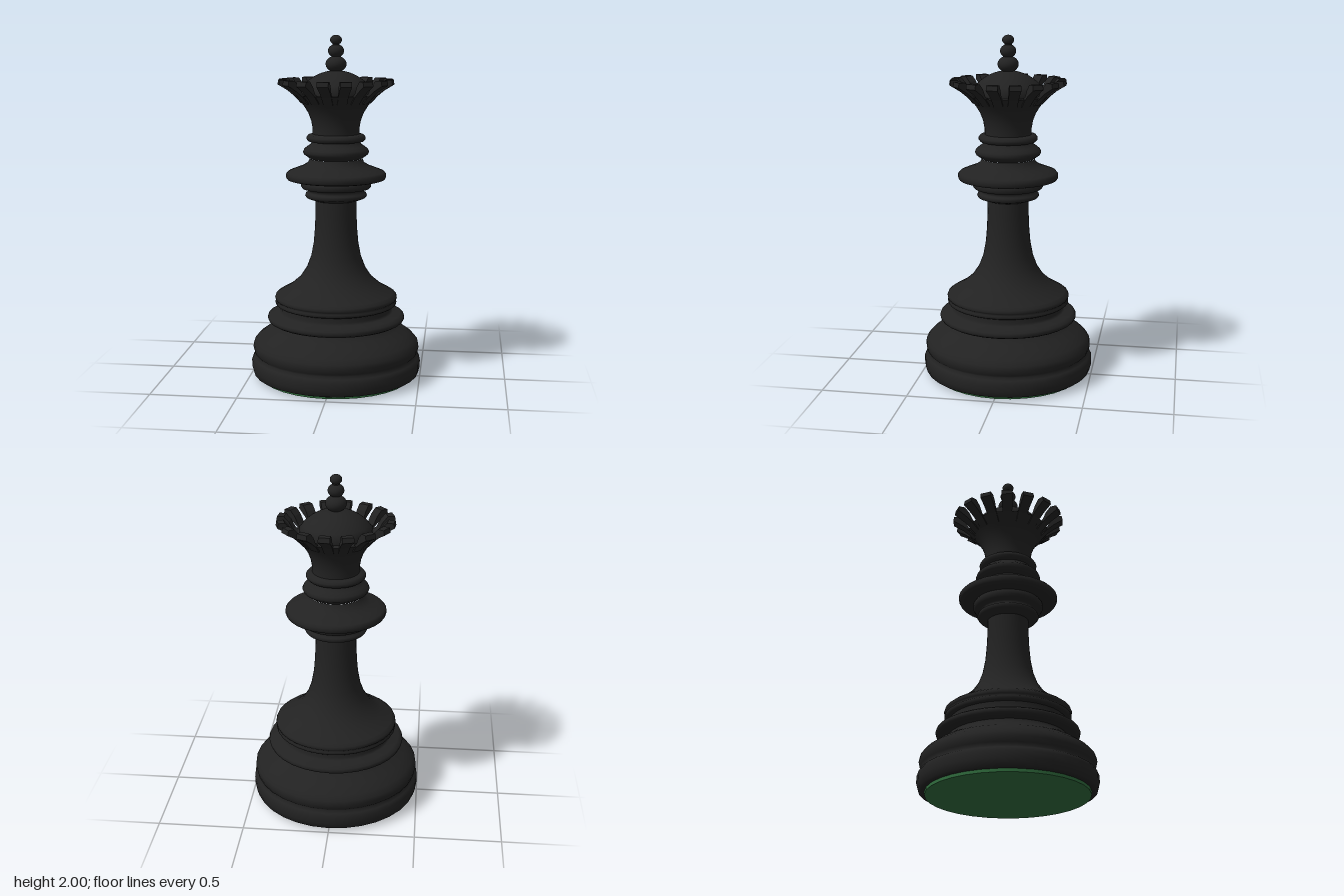
import * as THREE from 'three';

const SIDES = 32;

export function createModel() {
  const black = new THREE.MeshStandardMaterial({ color: 0x222222 });
  black.name = 'black';
  const green = new THREE.MeshStandardMaterial({ color: 0x2f6a3c });
  green.name = 'felt green';

  const model = new THREE.Group();
  model.name = 'chessQueen';

  const add = (name, geometry, material = black) => {
    const mesh = new THREE.Mesh(geometry, material);
    mesh.name = name;
    model.add(mesh);
    return mesh;
  };
  // Turned part from [radius, height] pairs, bottom to top
  const turn = (name, profile) =>
    add(name, new THREE.LatheGeometry(profile.map(([r, y]) => new THREE.Vector2(r, y)), SIDES));

  // Felt pad under the base
  add('feltPad', new THREE.CylinderGeometry(0.455, 0.455, 0.02, SIDES), green).position.y = 0.01;

  // Stepped base
  turn('base', [
    [0.45, 0.018], [0.475, 0.018], [0.49, 0.024], [0.5, 0.06], [0.5, 0.1], [0.488, 0.122],
    [0.47, 0.135], [0.484, 0.15], [0.491, 0.18], [0.487, 0.205], [0.465, 0.232],
    [0.42, 0.265], [0.37, 0.292], [0.34, 0.315], [0.335, 0.33],
  ]);
  turn('baseRing', [
    [0.33, 0.33], [0.385, 0.333], [0.4, 0.342], [0.405, 0.355], [0.4, 0.368],
    [0.38, 0.38], [0.335, 0.388], [0.325, 0.4], [0.325, 0.435],
  ]);
  turn('baseFillet', [
    [0.32, 0.433], [0.35, 0.434], [0.357, 0.44], [0.357, 0.454], [0.349, 0.46], [0.357, 0.466],
    [0.36, 0.476], [0.356, 0.488], [0.34, 0.5],
  ]);

  // Flaring stem
  turn('stem', [
    [0.34, 0.5], [0.27, 0.54], [0.212, 0.59], [0.172, 0.65], [0.146, 0.72], [0.131, 0.8],
    [0.124, 0.88], [0.12, 0.97], [0.12, 1.07],
  ]);

  // Collars around the neck
  turn('lowerCollar', [
    [0.12, 1.05], [0.145, 1.058], [0.172, 1.068], [0.18, 1.08], [0.176, 1.093],
    [0.163, 1.1], [0.162, 1.116], [0.195, 1.122], [0.205, 1.135], [0.205, 1.155], [0.195, 1.17],
  ]);
  turn('wideCollar', [
    [0.19, 1.168], [0.26, 1.17], [0.283, 1.176], [0.29, 1.188], [0.29, 1.207], [0.278, 1.22],
    [0.24, 1.235], [0.195, 1.252], [0.163, 1.272], [0.152, 1.295],
  ]);
  turn('middleCollar', [
    [0.15, 1.295], [0.165, 1.306], [0.185, 1.32], [0.191, 1.335], [0.185, 1.35],
    [0.165, 1.366], [0.145, 1.38], [0.138, 1.396],
  ]);
  turn('upperCollar', [
    [0.135, 1.392], [0.16, 1.396], [0.17, 1.408], [0.17, 1.42], [0.16, 1.433], [0.135, 1.438],
  ]);

  // Head bowl with a flat rim
  turn('head', [
    [0.135, 1.43], [0.135, 1.47], [0.143, 1.515], [0.16, 1.56], [0.185, 1.6], [0.212, 1.635], [0.24, 1.662],
  ]);
  turn('headRim', [[0.24, 1.662], [0.19, 1.664]]);

  // Dome: a spherical cap
  const dome = [];
  for (let i = 0; i <= 10; i++) {
    const r = 0.205 * (1 - i / 10);
    dome.push([r, 1.55 + Math.sqrt(0.25 ** 2 - r * r)]);
  }
  turn('dome', [[0.2, 1.655], ...dome]);

  // Three stacked beads: [height, radius, half height]
  [[1.836, 0.06, 0.047], [1.91, 0.046, 0.038], [1.972, 0.034, 0.028]].forEach(([y, r, h]) => {
    const bead = add('finialBead', new THREE.SphereGeometry(1, 24, 16));
    bead.scale.set(r, h, r);
    bead.position.y = y;
  });
  add('finialNeck', new THREE.CylinderGeometry(0.02, 0.026, 0.13, 16)).position.y = 1.9;

  // Sixteen crown teeth, each a radial profile that widens outward
  const side = new THREE.Shape([
    [0.2, 1.615], [0.24, 1.658], [0.275, 1.687], [0.312, 1.71], [0.333, 1.722],
    [0.328, 1.75], [0.29, 1.75], [0.262, 1.72], [0.238, 1.675], [0.2, 1.655],
  ].map(([x, y]) => new THREE.Vector2(x, y)));
  const tooth = new THREE.ExtrudeGeometry(side, { depth: 0.065, bevelEnabled: false });
  tooth.translate(0, 0, -0.0325);
  const p = tooth.attributes.position;
  for (let i = 0; i < p.count; i++) p.setZ(i, p.getZ(i) * (0.6 + 1.2 * p.getX(i)));
  tooth.computeVertexNormals();
  for (let k = 0; k < 16; k++) {
    add('crownTooth', tooth).rotation.y = THREE.MathUtils.degToRad(-6 + k * 22.5);
  }

  return model;
}
